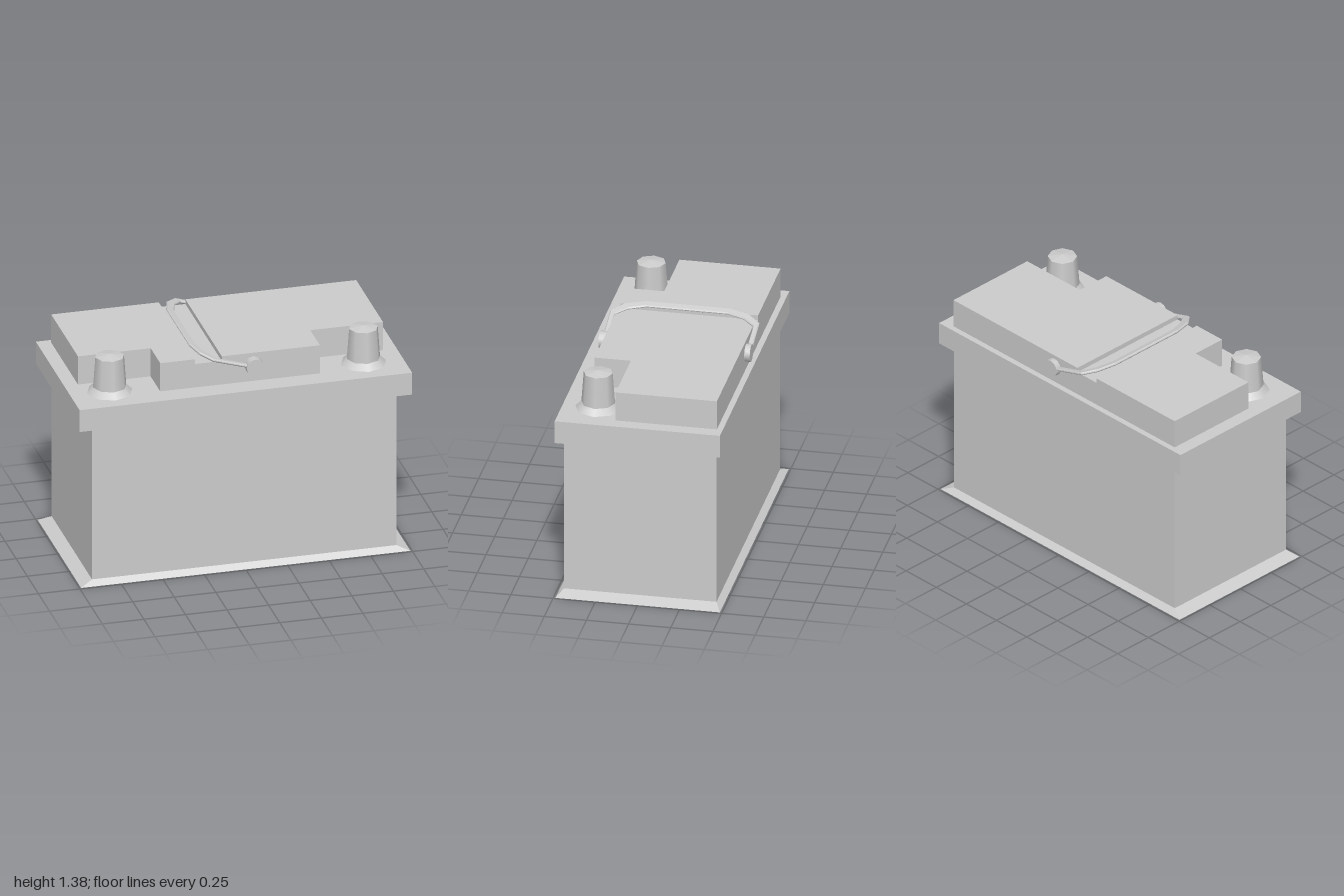
import * as THREE from 'three';

const mat = new THREE.MeshStandardMaterial({ color: 0xcccccc });
const flat = new THREE.MeshStandardMaterial({ color: 0xcccccc, flatShading: true });

function add(parent, name, geometry, x = 0, y = 0, z = 0, material = mat) {
  const mesh = new THREE.Mesh(geometry, material);
  mesh.name = name;
  mesh.position.set(x, y, z);
  parent.add(mesh);
  return mesh;
}

// Extrudes an outline drawn in x/z upwards from y0 to y1
function slab(points, y0, y1, bevel = 0) {
  const shape = new THREE.Shape(points.map(([x, z]) => new THREE.Vector2(x, -z)));
  const geometry = new THREE.ExtrudeGeometry(shape, {
    depth: y1 - y0, bevelEnabled: bevel > 0, bevelSegments: 1,
    bevelSize: bevel, bevelThickness: bevel,
  });
  return geometry.rotateX(-Math.PI / 2).translate(0, y0, 0);
}

export function createModel() {
  const model = new THREE.Group();
  model.name = 'battery';

  // Case with a flared foot and an overhanging lid
  add(model, 'case', new THREE.BoxGeometry(1.83, 0.97, 0.905), 0, 0.515, 0);
  const foot = new THREE.BoxGeometry(1.83, 0.03, 0.905);
  const p = foot.attributes.position;
  for (let i = 0; i < p.count; i++) {
    if (p.getY(i) < 0) p.setXYZ(i, Math.sign(p.getX(i)) * 0.99, -0.015, Math.sign(p.getZ(i)) * 0.488);
  }
  foot.computeVertexNormals();
  add(model, 'foot', foot, 0, 0.015, 0);
  add(model, 'lid', new THREE.BoxGeometry(2, 0.14, 0.98), 0, 1.07, 0);

  // T-shaped raised cover, split by a shallow slot for the handle
  const back = -0.455, step = 0.145, front = 0.36, wide = 0.917, narrow = 0.48;
  add(model, 'coverBase', slab([
    [-wide, back], [-wide, step], [-narrow, step], [-narrow, front],
    [narrow, front], [narrow, step], [wide, step], [wide, back],
  ], 1.14, 1.29));
  [['coverTopRight', -1, -0.27], ['coverTopLeft', 1, -0.11]].forEach(([name, s, edge]) => {
    add(model, name, slab([
      [edge, back], [s * wide, back], [s * wide, step],
      [s * narrow, step], [s * narrow, front], [edge, front],
    ], 1.29, 1.32));
  });

  // Terminals: tapered post with a flared collar and a low pointed cap
  for (const s of [-1, 1]) {
    const terminal = new THREE.Group();
    terminal.name = s < 0 ? 'terminalRight' : 'terminalLeft';
    terminal.position.set(s * 0.763, 0, 0.28);
    add(terminal, 'collar', new THREE.CylinderGeometry(0.098, 0.136, 0.037, 8, 1, true), 0, 1.1585, 0);
    add(terminal, 'post', new THREE.CylinderGeometry(0.086, 0.1, 0.19, 8, 1, true), 0, 1.27, 0);
    add(terminal, 'cap', new THREE.ConeGeometry(0.086, 0.015, 8, 1, true), 0, 1.3725, 0, flat);
    model.add(terminal);
  }

  // Handle pivots on the front and back of the cover
  const pivot = new THREE.CylinderGeometry(0.053, 0.053, 0.05, 12).rotateX(Math.PI / 2);
  add(model, 'pivotFront', pivot, 0.08, 1.245, 0.385);
  add(model, 'pivotBack', pivot, 0.08, 1.245, -0.463);

  // Carrying handle: a flat bail mirrored about its middle, tilted up to the slot
  const mid = -0.042;
  const outer = [[0, 0.436], [-0.26, 0.436], [-0.325, 0.365], [-0.358, 0.25]];
  const inner = [[-0.325, 0.24], [-0.292, 0.345], [-0.235, 0.415], [0, 0.415]];
  const flip = (list) => list.map(([x, z]) => [x, -z]).reverse();
  const bail = slab([...outer, ...flip(outer), ...flip(inner), ...inner], -0.003, 0.003, 0.006);
  const handle = add(model, 'handle', bail, 0.08, 1.24, mid, flat);
  handle.rotation.z = -0.297;

  return model;
}
